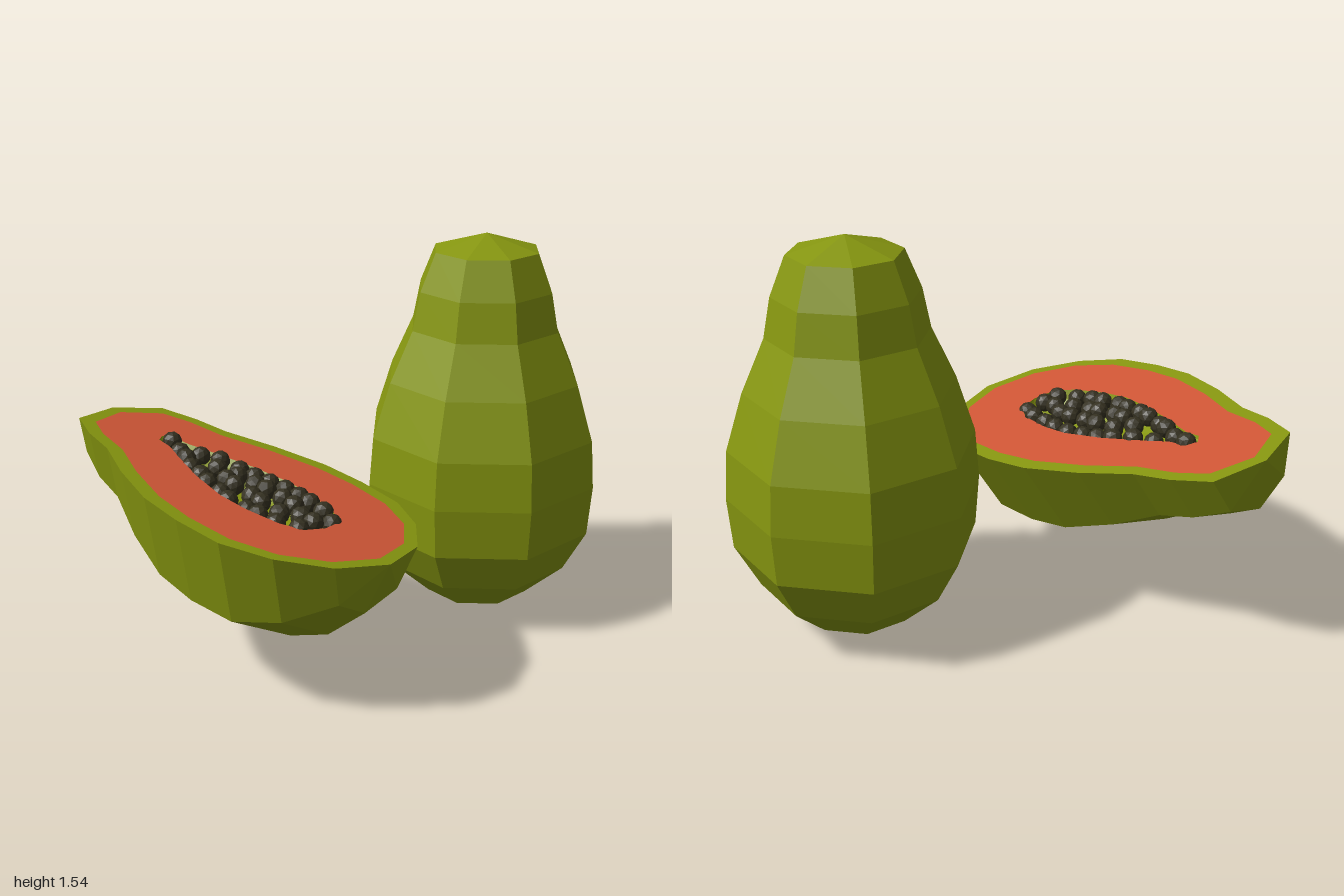
import * as THREE from 'three';

const skin = new THREE.MeshStandardMaterial({ color: 0x869610, flatShading: true });
skin.name = 'greenSkin';
const fleshColor = new THREE.MeshStandardMaterial({ color: 0xd05636, flatShading: true });
fleshColor.name = 'orangeFlesh';
const seedColor = new THREE.MeshStandardMaterial({ color: 0x343020, flatShading: true });
seedColor.name = 'darkSeed';

const points = (list) => list.map(([r, y]) => new THREE.Vector2(r, y));

// Half profiles as [radius, height along the fruit axis], bottom to top
const skinProfile = points([[0, 0], [0.215, 0.06], [0.37, 0.2], [0.46, 0.37], [0.475, 0.57], [0.46, 0.76],
  [0.39, 0.98], [0.3, 1.18], [0.27, 1.33], [0.21, 1.478], [0, 1.54]]);
const fleshProfile = points([[0, 0.05], [0.185, 0.1], [0.325, 0.22], [0.4, 0.38], [0.417, 0.57], [0.4, 0.75],
  [0.335, 0.96], [0.25, 1.15], [0.22, 1.31], [0.17, 1.425], [0, 1.487]]);
const cavityProfile = points([[0, 0.31], [0.09, 0.33], [0.14, 0.41], [0.17, 0.55], [0.175, 0.68], [0.14, 0.85],
  [0.09, 1.0], [0.045, 1.12], [0.04, 1.19], [0, 1.22]]);

// Mirrored closed outline of a half profile
function outline(profile) {
  const left = profile.slice(1, -1).reverse().map((p) => new THREE.Vector2(-p.x, p.y));
  return [...profile, ...left];
}

// Flat face between two outlines
function ring(outer, inner) {
  const shape = new THREE.Shape(outline(outer));
  shape.holes.push(new THREE.Path(outline(inner)));
  return new THREE.ShapeGeometry(shape);
}

function add(parent, name, geometry, material) {
  const mesh = new THREE.Mesh(geometry, material);
  mesh.name = name;
  parent.add(mesh);
  return mesh;
}

// Radius of a profile at height y
function radiusAt(profile, y) {
  for (let i = 1; i < profile.length; i++) {
    const a = profile[i - 1], b = profile[i];
    if (y <= b.y) return THREE.MathUtils.lerp(a.x, b.x, (y - a.y) / (b.y - a.y));
  }
  return 0;
}

function createSeeds() {
  const seeds = new THREE.Group();
  seeds.name = 'seeds';
  const geometry = new THREE.IcosahedronGeometry(0.039, 1);
  let k = 0;
  for (let row = 0; row < 12; row++) {
    const y = 0.365 + row * 0.0735;
    const half = Math.max(radiusAt(cavityProfile, y) - 0.033, 0.012);
    const count = Math.max(1, Math.floor((2 * half) / 0.076) + 1);
    for (let i = 0; i < count; i++, k++) {
      const x = count === 1 ? (row % 2 ? 0.012 : -0.012) : -half + (2 * half * i) / (count - 1);
      const seed = add(seeds, 'seed', geometry, seedColor);
      seed.position.set(x, y + 0.012 * Math.sin(k * 2.4), -0.014 + 0.008 * Math.sin(k * 1.7));
      seed.rotation.set(k, k * 1.3, 0);
    }
  }
  return seeds;
}

// Cut fruit: local y runs along the fruit, local z points out of the cut face
function createHalf() {
  const half = new THREE.Group();
  half.name = 'halfFruit';
  add(half, 'halfSkin', new THREE.LatheGeometry(skinProfile, 4, Math.PI / 2, Math.PI), skin);
  add(half, 'cutRim', ring(skinProfile, fleshProfile), skin);
  add(half, 'flesh', ring(fleshProfile, cavityProfile), fleshColor);
  // Reversed profile so the hollow faces inward
  const hollow = new THREE.LatheGeometry([...cavityProfile].reverse(), 6, Math.PI / 2, Math.PI);
  add(half, 'seedHollow', hollow.scale(1, 1, 0.6), skin);
  half.add(createSeeds());

  const axis = new THREE.Vector3(-0.449, 0.124, -0.885).normalize();
  const side = new THREE.Vector3().crossVectors(axis, new THREE.Vector3(0.2016, 0.9788, 0.0352)).normalize();
  const normal = new THREE.Vector3().crossVectors(side, axis);
  half.quaternion.setFromRotationMatrix(new THREE.Matrix4().makeBasis(side, axis, normal));
  half.position.set(-0.16, 0.613, 0.67);
  return half;
}

export function createModel() {
  const model = new THREE.Group();
  model.name = 'fruitPair';
  const whole = add(model, 'wholeFruit', new THREE.LatheGeometry(skinProfile, 8), skin);
  whole.position.set(0.522, 0, -0.11);
  model.add(createHalf());
  return model;
}
